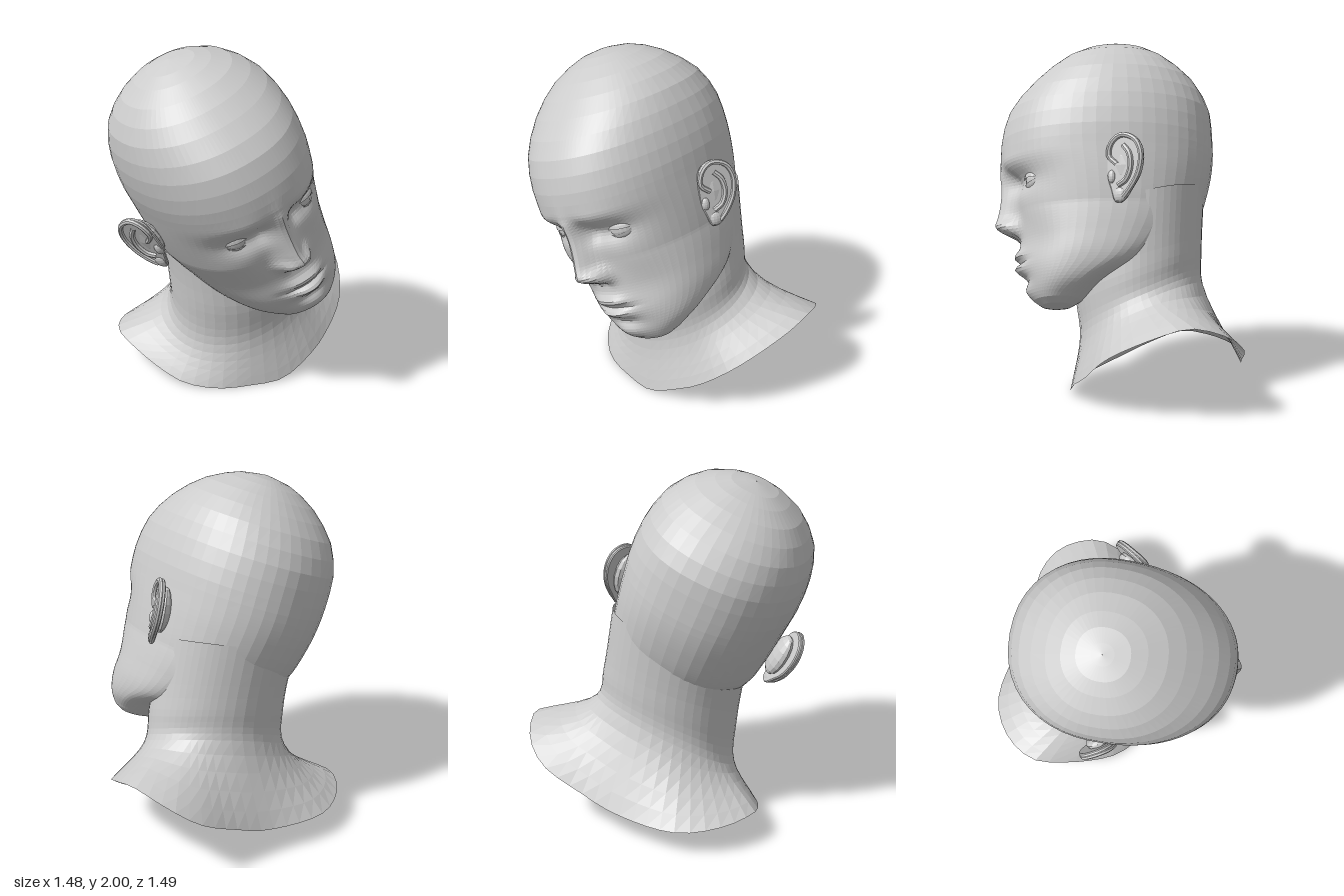
import * as THREE from 'three';

const mat = new THREE.MeshStandardMaterial({ color: 0xcccccc, flatShading: true, side: THREE.DoubleSide });

// Pose of the head: leaning to its right and turned slightly to its left
const RIGHT = new THREE.Vector3(0.9, 0.375, -0.22).normalize();
const FRONT = RIGHT.clone().cross(new THREE.Vector3(-0.369, 0.927, 0.072)).normalize();
const POSE = new THREE.Matrix4().makeBasis(RIGHT, FRONT.clone().cross(RIGHT), FRONT).setPosition(-0.106, 1.18, 0.054);

function add(parent, geometry, name) {
  const mesh = new THREE.Mesh(geometry, mat);
  mesh.name = name;
  parent.add(mesh);
  return mesh;
}

// Skin a list of closed rings, ordered from top to bottom, leaving out hidden quads
function loft(rings, hidden = () => false) {
  const n = rings[0].length, pts = rings.flat(), idx = [];
  for (let i = 0; i < rings.length - 1; i++) {
    for (let j = 0; j < n; j++) {
      const a = i * n + j, b = i * n + (j + 1) % n;
      if ([a, b, a + n, b + n].every(k => hidden(pts[k]))) continue;
      idx.push(a, a + n, b, b, a + n, b + n);
    }
  }
  const g = new THREE.BufferGeometry().setFromPoints(pts);
  g.setIndex(idx);
  g.computeVertexNormals();
  return g;
}

// Head sections: height, half width, front z, back z, z of the widest point
const SECTIONS = [
  [0.85, 0.001, 0.001, -0.001, 0],
  [0.83, 0.13, 0.135, -0.13, 0],
  [0.785, 0.235, 0.245, -0.235, 0],
  [0.725, 0.33, 0.345, -0.32, 0],
  [0.60, 0.435, 0.485, -0.455, 0],
  [0.43, 0.485, 0.625, -0.545, 0],
  [0.26, 0.497, 0.675, -0.56, 0],
  [0.12, 0.485, 0.675, -0.56, 0],
  [-0.03, 0.47, 0.62, -0.535, 0],
  [-0.20, 0.445, 0.58, -0.48, 0],
  [-0.35, 0.41, 0.565, -0.39, 0.03],
  [-0.50, 0.365, 0.56, -0.20, 0.09],
  [-0.61, 0.295, 0.52, 0.08, 0.22],
  [-0.69, 0.20, 0.485, 0.20, 0.32],
  [-0.735, 0.125, 0.44, 0.27, 0.35],
  [-0.757, 0.001, 0.361, 0.359, 0.36],
];

// Smooth interpolation of the section table
function section(y) {
  const S = SECTIONS, last = S.length - 1;
  let i = 0;
  while (i < last - 1 && y < S[i + 1][0]) i++;
  const h = S[i + 1][0] - S[i][0], t = (y - S[i][0]) / h;
  const slope = (k, c) => {
    const p = S[Math.max(k - 1, 0)], q = S[Math.min(k + 1, last)];
    return (q[c] - p[c]) / (q[0] - p[0]);
  };
  return [1, 2, 3, 4].map(c =>
    S[i][c] * (2 * t ** 3 - 3 * t * t + 1) + S[i + 1][c] * (3 * t * t - 2 * t ** 3) +
    h * (slope(i, c) * (t ** 3 - 2 * t * t + t) + slope(i + 1, c) * (t ** 3 - t * t)));
}

// Facial relief: [x, y, width, height, depth], mirrored over x
const RELIEF = [
  [0.19, 0.075, 0.11, 0.035, 0.015],    // brows
  [0.20, -0.035, 0.08, 0.045, -0.045],  // eye sockets
  [0.10, -0.025, 0.035, 0.045, -0.032], // inner eye corners
  [0.28, -0.19, 0.08, 0.07, 0.015],     // cheekbones
  [0.25, -0.42, 0.08, 0.08, -0.018],    // cheek hollows
  [0.07, -0.28, 0.028, 0.032, 0.045],   // nose wings
  [0.035, -0.33, 0.018, 0.014, -0.015], // nostrils
  [0.05, -0.45, 0.05, 0.024, 0.026],    // upper lip
  [0.04, -0.525, 0.05, 0.026, 0.028],   // lower lip
  [0.06, -0.487, 0.055, 0.013, -0.024], // mouth line
  [0.04, -0.588, 0.06, 0.028, -0.014],  // crease under the lip
  [0.03, -0.65, 0.06, 0.04, 0.014],     // chin
];
const bell = (d, s) => Math.exp(-0.5 * (d / s) ** 2);

function relief(x, y) {
  let d = 0;
  for (const [cx, cy, sx, sy, h] of RELIEF) {
    d += h * (bell(x - cx, sx) + bell(x + cx, sx)) * bell(y - cy, sy);
  }
  // nose ridge, widening towards the tip and rounded off below it
  const k = THREE.MathUtils.clamp((0.08 - y) / 0.33, 0, 1);
  const cut = THREE.MathUtils.smoothstep(y, -0.36, -0.26);
  return d + (0.135 * k + 0.02 * bell(y - 0.01, 0.07)) * cut * bell(x, 0.034 + 0.018 * k);
}

function headGeometry() {
  const ys = [0.85, 0.842, 0.828, 0.795, 0.74, 0.67, 0.59, 0.5, 0.41, 0.32, 0.23, 0.165];
  for (let y = 0.12; y > -0.72; y -= 0.0165) ys.push(y);
  ys.push(-0.735, -0.749, -0.757);
  const cols = 68, e = 2 / 2.2;
  const rings = ys.map(y => {
    const [w, front, back, mid] = section(y);
    return Array.from({ length: cols }, (_, j) => {
      const t = (j / cols) * 2 * Math.PI;
      const a = t - 0.6 * Math.sin(t); // finer columns on the face
      const s = Math.sin(a), c = Math.cos(a);
      const x = w * Math.sign(s) * Math.abs(s) ** e;
      let z = mid + (c > 0 ? front - mid : mid - back) * Math.sign(c) * Math.abs(c) ** e;
      z += relief(x, y) * THREE.MathUtils.smoothstep(z, 0.2, 0.42);
      return new THREE.Vector3(x + 0.16 * Math.max(0, -y - 0.2), y, z);
    });
  });
  // the underside is open where the neck enters
  return loft(rings, p => {
    const q = p.clone().applyMatrix4(POSE);
    return q.y < 0.85 && Math.hypot((q.x - 0.01) / 0.36, (q.z + 0.09) / 0.325) < 1;
  });
}

function makeEye(side) {
  const eye = new THREE.Group();
  eye.name = side > 0 ? 'leftEye' : 'rightEye';
  add(eye, new THREE.SphereGeometry(0.08, 20, 14), 'eyeball');
  const upper = add(eye, new THREE.SphereGeometry(0.088, 20, 8, 0, Math.PI * 2, 0, Math.PI / 2), 'upperLid');
  upper.rotation.x = -0.05;
  const lower = add(eye, new THREE.SphereGeometry(0.086, 20, 8, 0, Math.PI * 2, Math.PI / 2, Math.PI / 2), 'lowerLid');
  lower.rotation.x = 0.35;
  eye.position.set(side * 0.2 + 0.005, -0.035, 0.455);
  eye.scale.x = 1.15;
  return eye;
}

function makeEar(side) {
  const ear = new THREE.Group(), flap = new THREE.Group();
  ear.name = side > 0 ? 'leftEar' : 'rightEar';
  const tube = (pts, r, name) => add(flap, new THREE.TubeGeometry(
    new THREE.CatmullRomCurve3(pts.map(p => new THREE.Vector3(...p))), 28, r, 7), name);
  const ball = (r, name, position, scale) => {
    const mesh = add(flap, new THREE.SphereGeometry(r, 12, 8), name);
    mesh.position.set(...position);
    mesh.scale.set(...scale);
  };
  // thin shell of the ear
  const shape = new THREE.Shape().setFromPoints(new THREE.SplineCurve([
    [0, 0.06], [0.02, 0.15], [0.09, 0.195], [0.18, 0.165], [0.22, 0.08], [0.205, -0.03],
    [0.15, -0.12], [0.10, -0.185], [0.05, -0.19], [0.025, -0.12], [0, -0.04], [0, 0.06],
  ].map(p => new THREE.Vector2(...p))).getPoints(44));
  add(flap, new THREE.ExtrudeGeometry(shape, {
    depth: 0.012, bevelEnabled: true, bevelSize: 0.006, bevelThickness: 0.006, bevelSegments: 1,
  }), 'earShell');
  tube([[0.06, 0.02, 0.02], [0.01, 0.07, 0.025], [0.03, 0.15, 0.025], [0.09, 0.19, 0.02], [0.175, 0.16, 0.02],
    [0.213, 0.08, 0.02], [0.198, -0.03, 0.02], [0.145, -0.12, 0.02], [0.10, -0.17, 0.015]], 0.016, 'earRim');
  tube([[0.10, 0.13, 0.015], [0.14, 0.08, 0.022], [0.15, 0, 0.025], [0.12, -0.07, 0.024], [0.07, -0.10, 0.02]],
    0.017, 'earInnerFold');
  ball(0.03, 'tragus', [0.025, -0.05, 0.015], [0.8, 1.3, 0.7]);
  ball(0.04, 'earLobe', [0.075, -0.155, 0.01], [1, 1.1, 0.5]);
  ball(0.08, 'earRoot', [0.085, 0.015, -0.025], [1.15, 1.75, 0.6]);
  // flared backwards, with the lobe held closer to the head
  flap.rotation.set(0, Math.PI / 2 - 0.55, -0.16, 'ZYX');
  flap.position.set(0.475, -0.01, 0.075);
  flap.scale.setScalar(0.95);
  ear.add(flap);
  ear.scale.x = side;
  ear.position.set(-0.018, -0.02, 0);
  return ear;
}

// Neck flaring into a slanted, open shoulder hem
function neckGeometry() {
  const hem = new THREE.CatmullRomCurve3([
    [0, 0, 0.29], [0.2, 0.01, 0.28], [0.38, 0.1, 0.22], [0.5, 0.17, 0.14], [0.66, 0.33, -0.02],
    [0.74, 0.49, -0.33], [0.72, 0.53, -0.48], [0.6, 0.46, -0.67], [0.45, 0.36, -0.74], [0.2, 0.24, -0.71],
    [0, 0.17, -0.69], [-0.4, 0.15, -0.65], [-0.6, 0.17, -0.48], [-0.67, 0.18, -0.27], [-0.6, 0.13, -0.1],
    [-0.5, 0.07, 0.05], [-0.38, 0.02, 0.18], [-0.2, 0, 0.27],
  ].map(p => new THREE.Vector3(...p)), true).getSpacedPoints(48).slice(0, 48);
  // centre x, y, z, radius x, radius z, tilt along x, tilt along z
  const levels = [
    [-0.06, 1.07, -0.09, 0.39, 0.37, 0.3, -0.3],
    [0.01, 0.68, -0.09, 0.40, 0.365, 0.2, -0.4],
    [0.03, 0.46, -0.11, 0.425, 0.355, 0.28, -0.5],
  ];
  const columns = hem.map(p => {
    const a = Math.atan2(p.x - 0.03, p.z + 0.2);
    const path = levels.map(([cx, cy, cz, rx, rz, tx, tz]) => {
      const dx = rx * Math.sin(a), dz = rz * Math.cos(a);
      return new THREE.Vector3(cx + dx, cy + tx * dx + tz * dz, cz + dz);
    });
    return new THREE.CatmullRomCurve3([...path, p]).getPoints(15);
  });
  return loft(columns[0].map((_, i) => columns.map(c => c[i])));
}

export function createModel() {
  const model = new THREE.Group(), head = new THREE.Group();
  model.name = 'bust';
  head.name = 'head';
  add(model, neckGeometry(), 'neck');
  add(head, headGeometry(), 'skullAndFace');
  for (const side of [1, -1]) head.add(makeEye(side), makeEar(side));
  head.applyMatrix4(POSE);
  model.add(head);
  return model;
}
